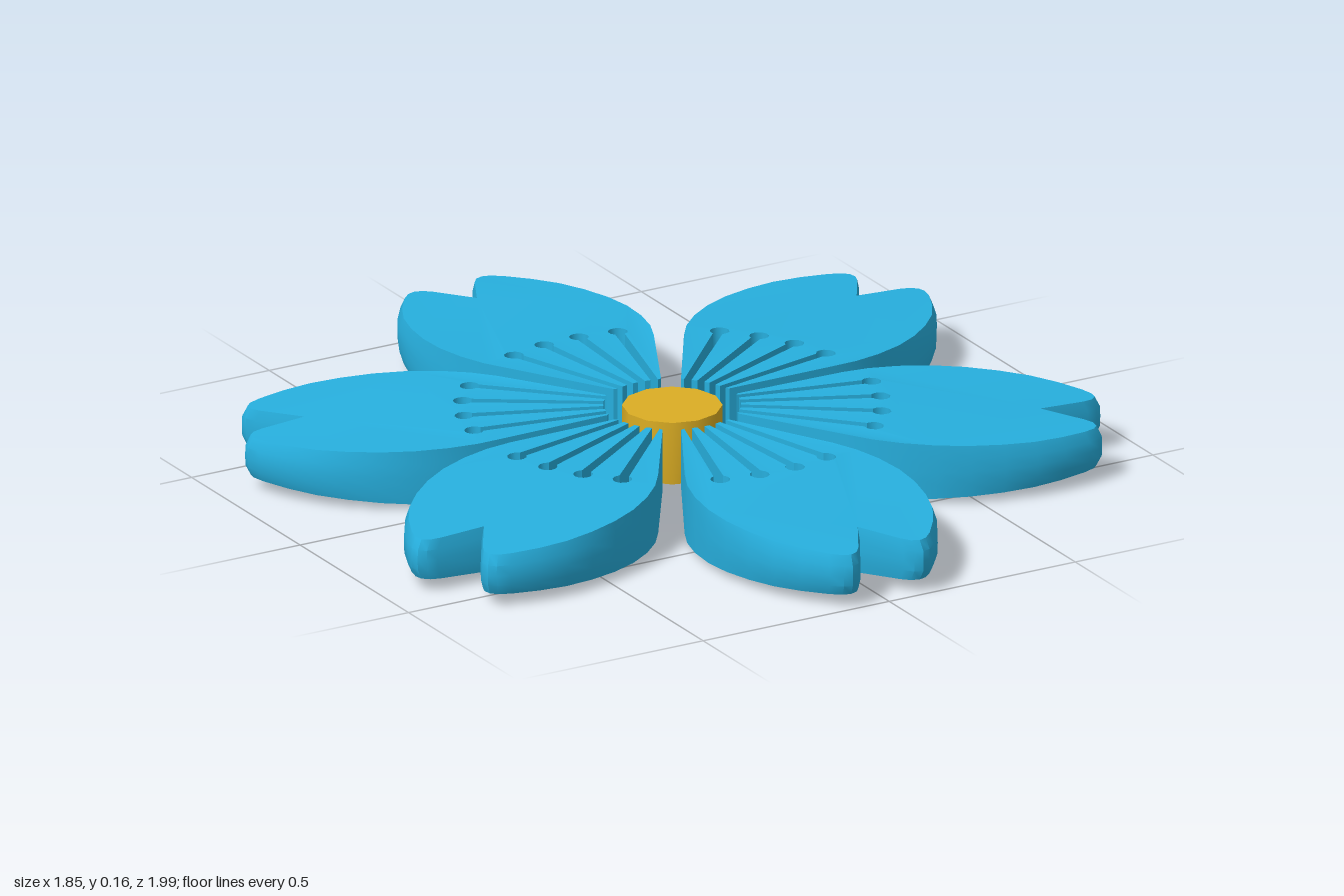
import * as THREE from 'three';
import { toCreasedNormals } from 'three/addons/utils/BufferGeometryUtils.js';

const deg = THREE.MathUtils.degToRad;

// Right half of the petal outline, from the inner end to the notch at the tip
const HALF = [
  [0.065, 0.153], [0.2, 0.4], [0.228, 0.46], [0.248, 0.53], [0.259, 0.61], [0.257, 0.69],
  [0.243, 0.77], [0.219, 0.845], [0.183, 0.91], [0.14, 0.967], [0.115, 0.99], [0.095, 0.996],
  [0.075, 0.988], [0.058, 0.967], [0, 0.865],
];

// Points of one stamen slot: straight walls, with a round bulb at the outer end
function slotPoints(angle) {
  const d = new THREE.Vector2(Math.sin(angle), Math.cos(angle));
  const p = new THREE.Vector2(d.y, -d.x);
  const at = (along, side) => d.clone().multiplyScalar(along).addScaledVector(p, side);
  const points = [at(0.16, -0.009)];
  for (let i = 0; i <= 10; i++) {
    const t = deg(-150 + 30 * i);
    points.push(at(0.487 + 0.023 * Math.cos(t), 0.023 * Math.sin(t)));
  }
  points.push(at(0.16, 0.009));
  return points;
}

function petalGeometry() {
  const right = HALF.map(([x, y]) => new THREE.Vector2(x, y));
  const left = HALF.slice(0, -1).reverse().map(([x, y]) => new THREE.Vector2(-x, y));
  const slots = [-17, -5.6, 5.6, 17].flatMap((a) => slotPoints(deg(a)));
  const shape = new THREE.Shape([...right, ...left, ...slots]);
  const geometry = new THREE.ExtrudeGeometry(shape, { depth: 1, steps: 4, bevelEnabled: false });

  // Thin the petal towards its tip and round its outer wall slightly
  const pos = geometry.attributes.position;
  for (let i = 0; i < pos.count; i++) {
    const x = pos.getX(i), y = pos.getY(i);
    const level = pos.getZ(i) * 2 - 1;
    const r = Math.hypot(x, y);
    const halfHeight = 0.075 - 0.026 * THREE.MathUtils.clamp((r - 0.35) / 0.65, 0, 1) ** 1.5;
    const k = THREE.MathUtils.smoothstep(r, 0.5, 0.95) * level ** 4;
    pos.setXYZ(i, x * (1 - 0.03 * k), y * (1 - 0.013 * k), 0.08 + level * halfHeight);
  }
  geometry.rotateX(-Math.PI / 2);
  return toCreasedNormals(geometry, 0.6);
}

export function createModel() {
  const blue = new THREE.MeshStandardMaterial({ color: 0x27b0df });
  blue.name = 'petal blue';
  const gold = new THREE.MeshStandardMaterial({ color: 0xdcae24 });
  gold.name = 'centre gold';

  const flower = new THREE.Group();
  flower.name = 'flower';

  // Six petals, each turned slightly off an even spacing
  const geometry = petalGeometry();
  [90, 151, 208, 268.2, 330.3, 29].forEach((angle, i) => {
    const petal = new THREE.Mesh(geometry, blue);
    petal.name = `petal${i + 1}`;
    petal.rotation.y = deg(270 - angle);
    flower.add(petal);
  });

  // Round centre, standing free inside the ring of petals
  const disc = toCreasedNormals(new THREE.CylinderGeometry(0.117, 0.117, 0.153, 12), 0.6);
  const centre = new THREE.Mesh(disc, gold);
  centre.name = 'centre';
  centre.position.y = 0.0765;
  flower.add(centre);

  return flower;
}
